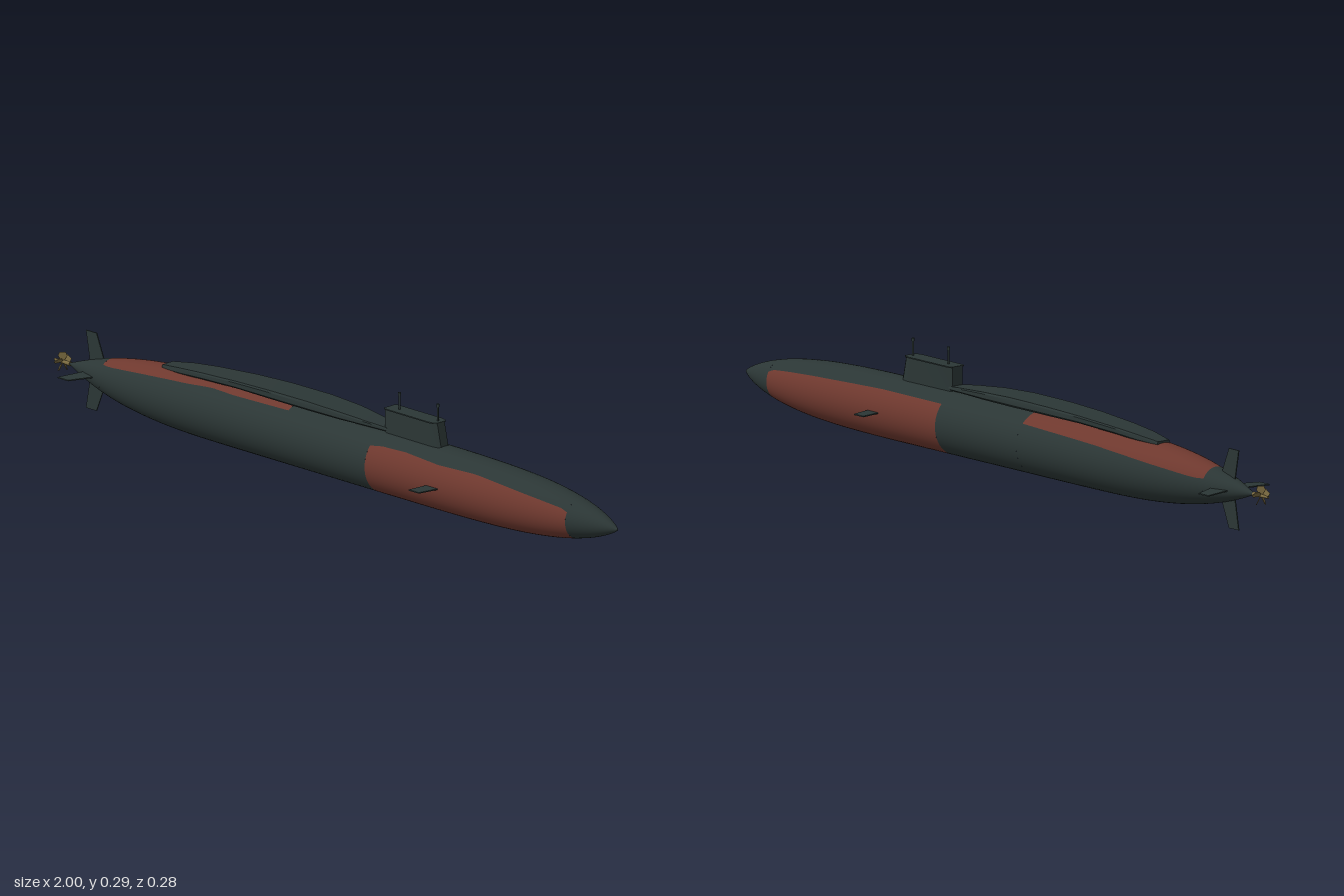
import * as THREE from 'three';
import { toCreasedNormals } from 'three/addons/utils/BufferGeometryUtils.js';
import { ParametricGeometry } from 'three/addons/geometries/ParametricGeometry.js';

const AXIS = 0.103, R = 0.083;
const rad = THREE.MathUtils.degToRad;

// Hull radius along the length: rounded bow, tapering stern
function hullRadius(x) {
  if (x > 0.1) return Math.max(0.0005, R * Math.max(0, 1 - ((x - 0.1) / 0.897) ** 5) ** 0.82);
  if (x < -0.3) return Math.max(0.003, R * (1 - ((-0.3 - x) / 0.65) ** 3.2));
  return R;
}

// Piecewise linear value of [x, value] pairs
function along(pairs, x) {
  for (let i = 1; i < pairs.length; i++) {
    const [x0, a] = pairs[i - 1], [x1, b] = pairs[i];
    if (x <= x1) return a + (b - a) * Math.max(0, (x - x0) / (x1 - x0));
  }
  return pairs[pairs.length - 1][1];
}

// Piece of hull skin between two lengthwise angles (0 = left side, 90 = top)
function hullPatch(x0, x1, from, to, nx, na) {
  return new ParametricGeometry((u, v, p) => {
    const x = x0 + (x1 - x0) * u, r = hullRadius(x);
    const a = rad(from(x) + (to(x) - from(x)) * v);
    p.set(x, AXIS + r * Math.sin(a), r * Math.cos(a));
  }, nx, na);
}

// Closed loft through rings of equal point count, with capped ends
function loft(rings) {
  const n = rings[0].length, pos = [], idx = [];
  rings.forEach(r => r.forEach(p => pos.push(...p)));
  for (let i = 0; i < rings.length - 1; i++) for (let j = 0; j < n; j++) {
    const a = i * n + j, b = i * n + (j + 1) % n;
    idx.push(a, a + n, b, b, a + n, b + n);
  }
  const end = (rings.length - 1) * n;
  for (let j = 1; j < n - 1; j++) idx.push(0, j, j + 1, end, end + j + 1, end + j);
  const g = new THREE.BufferGeometry();
  g.setAttribute('position', new THREE.Float32BufferAttribute(pos, 3));
  g.setIndex(idx);
  return toCreasedNormals(g, 0.6);
}

// Flat plate from an outline, centred on its thickness
function plate(points, thickness) {
  const shape = new THREE.Shape(points.map(p => new THREE.Vector2(...p)));
  return new THREE.ExtrudeGeometry(shape, { depth: thickness, bevelEnabled: false }).translate(0, 0, -thickness / 2);
}

export function createModel() {
  const model = new THREE.Group();
  const mat = (name, color) => Object.assign(new THREE.MeshStandardMaterial({ color }), { name });
  const dark = mat('dark grey green', 0x2b3635);
  const red = mat('dull red', 0x6e382e);
  const brass = mat('brass', 0x7a6a40);
  const add = (name, geometry, material, parent = model) => {
    const m = new THREE.Mesh(geometry, material);
    m.name = name;
    parent.add(m);
    return m;
  };

  // Hull skin, with wavy edges between the two paints
  const c = v => () => v;
  const sternLeft = x => along([[-0.8, 52], [-0.77, 46], [-0.7, 46], [-0.6, 48], [-0.48, 52], [-0.4, 58], [-0.32, 56], [-0.13, 59]], x);
  const sternRight = x => 180 - along([[-0.8, 28], [-0.77, 23], [-0.6, 28], [-0.4, 36], [-0.13, 43]], x);
  const bowLeft = x => along([[0.18, 40], [0.22, 45], [0.3, 47], [0.42, 42], [0.55, 46], [0.7, 40], [0.84, 36], [0.86, 30]], x);
  const bowRight = x => 180 - along([[0.18, 43], [0.4, 44], [0.6, 40], [0.84, 37], [0.86, 30]], x);
  const turn = f => x => f(x) + 360;
  add('sternCone', hullPatch(-0.945, -0.8, c(0), c(360), 10, 48), dark);
  add('aftHullSides', hullPatch(-0.8, -0.13, sternRight, turn(sternLeft), 28, 32), dark);
  add('aftHullPaint', hullPatch(-0.8, -0.13, sternLeft, sternRight, 28, 16), red);
  add('midHull', hullPatch(-0.13, 0.18, c(0), c(360), 6, 48), dark);
  add('foreDeck', hullPatch(0.18, 0.86, bowLeft, bowRight, 34, 14), dark);
  add('foreHullPaint', hullPatch(0.18, 0.86, bowRight, turn(bowLeft), 34, 34), red);
  add('bowCone', hullPatch(0.86, 0.997, c(0), c(360), 14, 48), dark);

  // Long raised casing behind the sail: x, half width, bottom, top
  const sections = [
    [-0.6, 0.02, 0.172, 0.184], [-0.53, 0.031, 0.176, 0.193], [-0.45, 0.037, 0.182, 0.2],
    [-0.32, 0.043, 0.188, 0.208], [-0.2, 0.046, 0.1885, 0.212], [-0.06, 0.046, 0.1885, 0.213],
    [0.05, 0.042, 0.1885, 0.209], [0.14, 0.031, 0.188, 0.202], [0.2, 0.02, 0.186, 0.196],
  ];
  add('casing', loft(sections.map(([x, w, b, t]) => {
    const h = t - b;
    const half = [[w * 0.85, b], [w, b + h * 0.25], [w, b + h * 0.8], [w * 0.93, t]];
    return [...half.map(([z, y]) => [x, y, z]), ...half.reverse().map(([z, y]) => [x, y, -z])];
  })), dark);

  // Sail with a raked leading edge and a thin roof plate
  const half = [[0.188, 0.017], [0.196, 0.02], [0.345, 0.0205], [0.362, 0.018], [0.369, 0.013]];
  const outline = [...half, ...half.slice().reverse().map(([x, z]) => [x, -z])];
  const sail = new THREE.Group();
  sail.name = 'sail';
  model.add(sail);
  const body = plate(outline, 0.08).rotateX(-Math.PI / 2).translate(0, 0.205, 0);
  const bp = body.attributes.position;
  for (let i = 0; i < bp.count; i++) {
    if (bp.getX(i) > 0.31) bp.setX(i, bp.getX(i) + (0.245 - bp.getY(i)) * 0.22);
  }
  add('sailBody', toCreasedNormals(body, 0.6), dark, sail);
  const roof = plate(outline.map(([x, z]) => [x + (x - 0.28) * 0.02, z * 1.16]), 0.003);
  add('sailRoof', roof.rotateX(-Math.PI / 2).translate(0, 0.246, 0), dark, sail);

  // Masts
  for (const x of [0.222, 0.358]) {
    add('mast', new THREE.CylinderGeometry(0.0027, 0.0027, 0.046, 10).translate(x, 0.267, 0), dark, sail);
    add('mastHead', new THREE.CylinderGeometry(0.004, 0.004, 0.008, 10).translate(x, 0.288, 0), dark, sail);
  }

  // Bow planes, stern planes and rudders: swept plates turned about the hull axis
  const bowFin = [[0.4, 0.06], [0.443, 0.06], [0.427, 0.138], [0.391, 0.138]];
  const sternFin = [[-0.872, 0.015], [-0.815, 0.015], [-0.851, 0.103], [-0.888, 0.103]];
  const fin = (name, points, angle) =>
    add(name, plate(points, 0.003).rotateX(angle).translate(0, AXIS, 0), dark);
  for (const s of [1, -1]) {
    fin(s > 0 ? 'leftBowPlane' : 'rightBowPlane', bowFin, s * Math.PI / 2);
    fin(s > 0 ? 'leftSternPlane' : 'rightSternPlane', sternFin, s * Math.PI / 2);
    fin(s > 0 ? 'upperRudder' : 'lowerRudder', sternFin, s > 0 ? 0 : Math.PI);
  }

  // Propeller with five pitched blades
  const propeller = new THREE.Group();
  propeller.name = 'propeller';
  propeller.position.set(-0.972, AXIS, 0);
  model.add(propeller);
  add('hub', new THREE.CylinderGeometry(0.006, 0.003, 0.056, 14).rotateZ(-Math.PI / 2), brass, propeller);
  const bladeShape = [[-0.004, 0.003], [0.004, 0.003], [0.012, 0.016], [0.008, 0.025], [-0.008, 0.025], [-0.012, 0.016]];
  for (let i = 0; i < 5; i++) {
    const blade = plate(bladeShape, 0.002).rotateY(0.7).rotateX(i * Math.PI * 2 / 5);
    add('blade', blade, brass, propeller);
  }
  return model;
}
